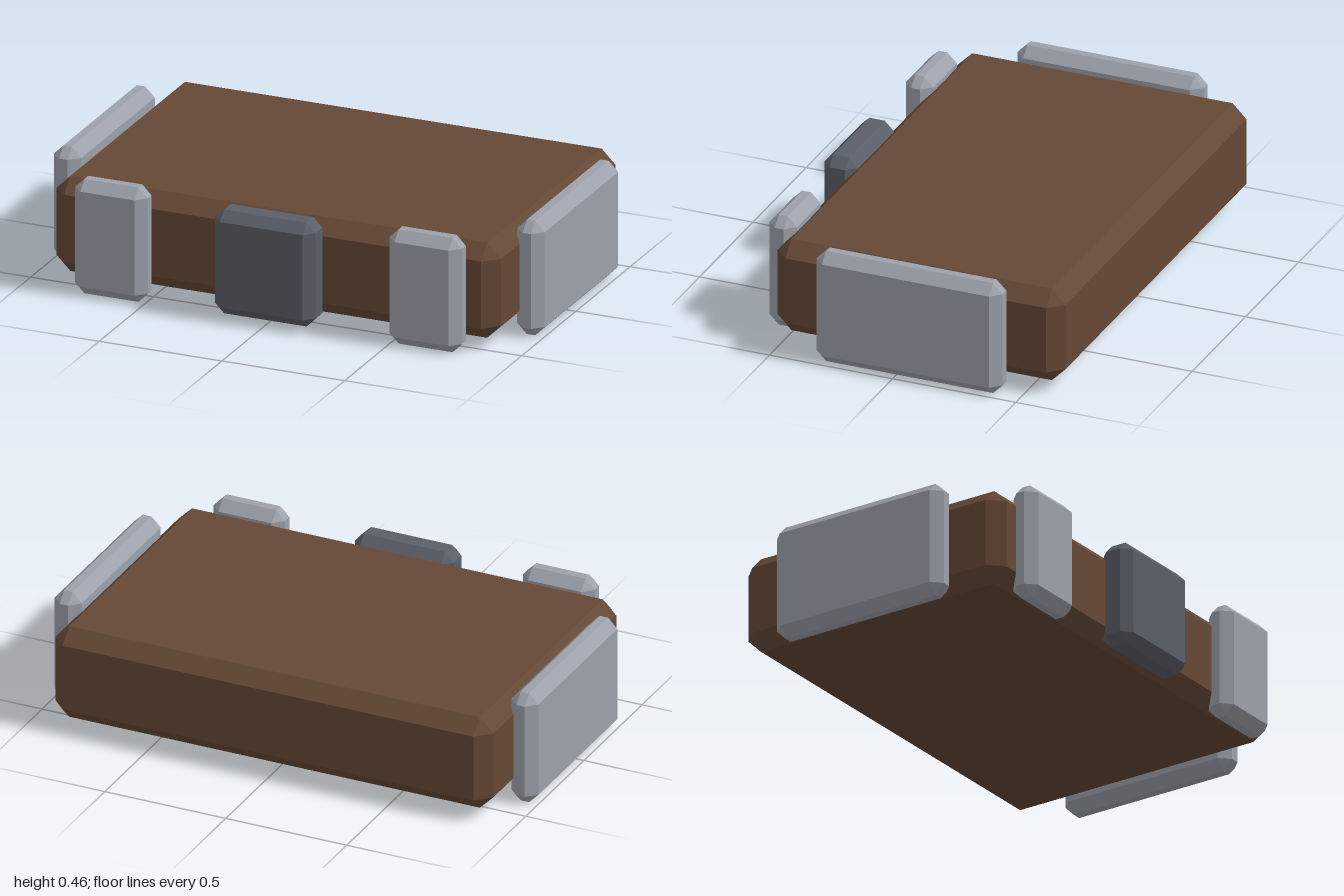
import * as THREE from 'three';
import { ConvexGeometry } from 'three/addons/geometries/ConvexGeometry.js';

const material = (name, color) => {
  const m = new THREE.MeshStandardMaterial({ color });
  m.name = name;
  return m;
};

// Box with every edge cut at 45 degrees, given by its min and max corners
function chamferBox(min, max, cut) {
  const half = max.map((v, i) => (v - min[i]) / 2);
  const points = [];
  for (const sx of [-1, 1]) for (const sy of [-1, 1]) for (const sz of [-1, 1]) {
    const sign = [sx, sy, sz];
    // one point per face meeting at this corner
    for (let face = 0; face < 3; face++) {
      points.push(new THREE.Vector3(...half.map((h, i) => sign[i] * (i === face ? h : h - cut))));
    }
  }
  return new ConvexGeometry(points);
}

export function createModel() {
  const group = new THREE.Group();
  const brown = material('brown leather', 0x654836);
  const steel = material('light steel', 0x9ca1ab);
  const darkSteel = material('dark steel', 0x5a5e68);

  function add(name, min, max, cut, mat) {
    const mesh = new THREE.Mesh(chamferBox(min, max, cut), mat);
    mesh.position.set(...min.map((v, i) => (v + max[i]) / 2));
    mesh.name = name;
    group.add(mesh);
    return mesh;
  }

  // Main slab
  add('body', [-0.905, 0.04, -0.637], [0.905, 0.42, 0.532], 0.056, brown);

  // Centre block on the front
  add('frontBuckle', [-0.205, 0.022, 0.5], [0.205, 0.437, 0.637], 0.037, darkSteel);

  // Mirrored plates on the front and sides
  const frontPlate = add('leftFrontPlate', [0.492, 0, 0.496], [0.788, 0.457, 0.608], 0.038, steel);
  const sidePlate = add('leftSidePlate', [0.888, 0, -0.43], [1, 0.457, 0.326], 0.039, steel);
  for (const plate of [frontPlate, sidePlate]) {
    const copy = plate.clone();
    copy.name = plate.name.replace('left', 'right');
    copy.position.x *= -1;
    group.add(copy);
  }
  return group;
}
